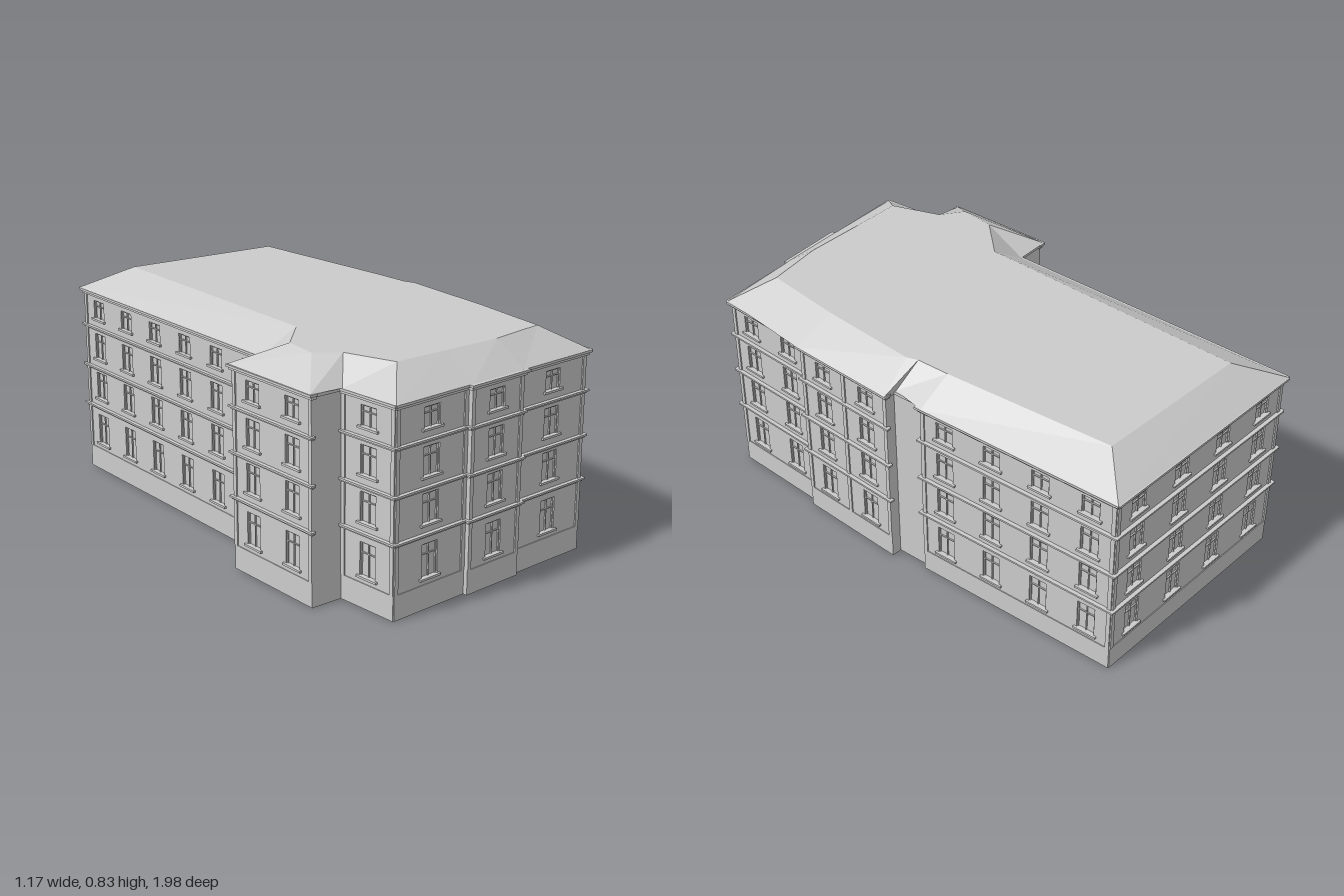
import * as THREE from 'three';

const mat = new THREE.MeshStandardMaterial({ color: 0xcccccc, flatShading: true, side: THREE.DoubleSide });

// Wall corners [x, z, window columns of the wall that starts here, pilaster in the middle]
const WALLS = [
  [-0.335, 0.97, 1], [-0.015, 0.914, 0], [-0.012, 0.93, 1], [0.235, 0.886, 0], [0.232, 0.873, 1],
  [0.563, 0.815, 2], [0.532, 0.415, 0], [0.553, 0.412, 2, true], [0.517, -0.025, 0], [0.48, -0.022, 0],
  [0.46, -0.155, 0], [0.475, -0.158, 4], [0.348, -0.97, 4], [-0.565, -0.9, 6], [-0.425, 0.305, 0],
  [-0.565, 0.325, 2], [-0.505, 0.745, 0], [-0.383, 0.73, 1],
];
// Window rows [sill height, head height]
const ROWS = [[0.115, 0.235], [0.307, 0.413], [0.473, 0.575], [0.638, 0.71]];
const COURSES = [0.27, 0.434, 0.6];
const WALL_TOP = 0.745, PLINTH = 0.09, THICK = 0.012, WIN = 0.072;

// Roof corners [eave x, eave z, upper x, upper z]
const ROOF = [
  [-0.345, 0.985, -0.24, 0.83], [-0.01, 0.935, -0.03, 0.805], [0.228, 0.895, 0.2, 0.78],
  [0.575, 0.825, 0.42, 0.72], [0.573, 0.41, 0.42, 0.4], [0.535, -0.035, 0.4, 0], [0.48, -0.035, 0.38, -0.04],
  [0.49, -0.175, 0.36, -0.17], [0.362, -0.985, 0.235, -0.83], [-0.58, -0.915, -0.4, -0.79],
  [-0.438, 0.295, -0.3, 0.3], [-0.58, 0.315, -0.42, 0.46], [-0.52, 0.755, -0.42, 0.6], [-0.395, 0.75, -0.33, 0.65],
];
const EAVE_Y = 0.75, ROOF_Y = 0.835;

// Box given by its limits in x and y and its back and front in z
function slab(parent, name, x0, x1, y0, y1, z0, z1) {
  const mesh = new THREE.Mesh(new THREE.BoxGeometry(x1 - x0, y1 - y0, z1 - z0), mat);
  mesh.position.set((x0 + x1) / 2, (y0 + y1) / 2, (z0 + z1) / 2);
  mesh.name = name;
  parent.add(mesh);
}

// Casement with a mullion, a transom and a projecting sill
function addWindow(parent, cx, y0, y1) {
  const g = new THREE.Group();
  g.name = 'window';
  const x0 = cx - WIN / 2, x1 = cx + WIN / 2, f = 0.004, zb = -THICK, zf = -0.005;
  slab(g, 'pane', x0, x1, y0, y1, zb, zb + 0.002);
  slab(g, 'frameLeft', x0, x0 + f, y0, y1, zb, zf);
  slab(g, 'frameRight', x1 - f, x1, y0, y1, zb, zf);
  slab(g, 'frameTop', x0, x1, y1 - f, y1, zb, zf);
  slab(g, 'mullion', cx - f / 2, cx + f / 2, y0, y1, zb, zf);
  const t = y0 + (y1 - y0) * 0.68;
  slab(g, 'transom', x0, x1, t - f / 2, t + f / 2, zb, zf);
  slab(g, 'sill', x0 - 0.011, x1 + 0.011, y0 - 0.008, y0, -0.004, 0.009);
  parent.add(g);
}

// One wall in its own frame: x along the wall, z outwards
function makeFacade([ax, az, columns, midPilaster], [bx, bz]) {
  const g = new THREE.Group();
  g.name = columns ? 'facade' : 'blankWall';
  g.position.set(ax, 0, az);
  g.rotation.y = Math.atan2(az - bz, bx - ax);
  const len = Math.hypot(bx - ax, bz - az);

  const shape = new THREE.Shape([[0, 0], [len, 0], [len, WALL_TOP], [0, WALL_TOP]].map(p => new THREE.Vector2(...p)));
  for (let i = 0; i < columns; i++) {
    const cx = len * (i + 0.5) / columns;
    for (const [y0, y1] of ROWS) {
      const l = cx - WIN / 2, r = cx + WIN / 2;
      shape.holes.push(new THREE.Path([[l, y0], [l, y1], [r, y1], [r, y0]].map(p => new THREE.Vector2(...p))));
      addWindow(g, cx, y0, y1);
    }
  }
  const geo = new THREE.ExtrudeGeometry(shape, { depth: THICK, bevelEnabled: false });
  geo.translate(0, 0, -THICK);
  const wall = new THREE.Mesh(geo, mat);
  wall.name = 'wall';
  g.add(wall);

  if (!columns) {
    slab(g, 'eaveMoulding', 0, len, 0.738, EAVE_Y, -0.01, 0.01);
    return g;
  }
  slab(g, 'plinth', 0, len, 0, PLINTH, -0.004, 0.003);
  // String courses between the floors and the eaves cornice
  for (const y of COURSES) {
    slab(g, 'stringCourse', -0.012, len + 0.012, y - 0.002, y + 0.005, -0.005, 0.015);
    slab(g, 'stringCourseBed', -0.006, len + 0.006, y - 0.009, y - 0.002, -0.005, 0.008);
  }
  slab(g, 'eavesCornice', -0.014, len + 0.014, 0.741, EAVE_Y, -0.01, 0.02);
  slab(g, 'eavesCorniceBed', -0.008, len + 0.008, 0.73, 0.741, -0.01, 0.011);
  // Pilaster strips
  const strips = [0.008, len - 0.008];
  if (midPilaster) strips.push(len / 2);
  for (const x of strips) slab(g, 'pilaster', x - 0.008, x + 0.008, PLINTH, 0.735, -0.004, 0.005);
  return g;
}

// Hipped roof with a flat top
function makeRoof() {
  const g = new THREE.Group();
  g.name = 'roof';
  const pos = [];
  ROOF.forEach(([ex, ez, tx, tz], i) => {
    const [fx, fz, ux, uz] = ROOF[(i + 1) % ROOF.length];
    const a = [ex, EAVE_Y, ez], b = [fx, EAVE_Y, fz], c = [ux, ROOF_Y, uz], d = [tx, ROOF_Y, tz];
    pos.push(...a, ...b, ...c, ...a, ...c, ...d);
  });
  const slopes = new THREE.BufferGeometry();
  slopes.setAttribute('position', new THREE.Float32BufferAttribute(pos, 3));
  slopes.computeVertexNormals();
  const slopeMesh = new THREE.Mesh(slopes, mat);
  slopeMesh.name = 'roofSlopes';

  const top = new THREE.ShapeGeometry(new THREE.Shape(ROOF.map(r => new THREE.Vector2(r[2], -r[3]))));
  top.rotateX(-Math.PI / 2);
  top.translate(0, ROOF_Y, 0);
  const topMesh = new THREE.Mesh(top, mat);
  topMesh.name = 'roofTop';
  g.add(slopeMesh, topMesh);
  return g;
}

export function createModel() {
  const model = new THREE.Group();
  model.name = 'apartmentBuilding';
  WALLS.forEach((w, i) => model.add(makeFacade(w, WALLS[(i + 1) % WALLS.length])));
  model.add(makeRoof());
  return model;
}
